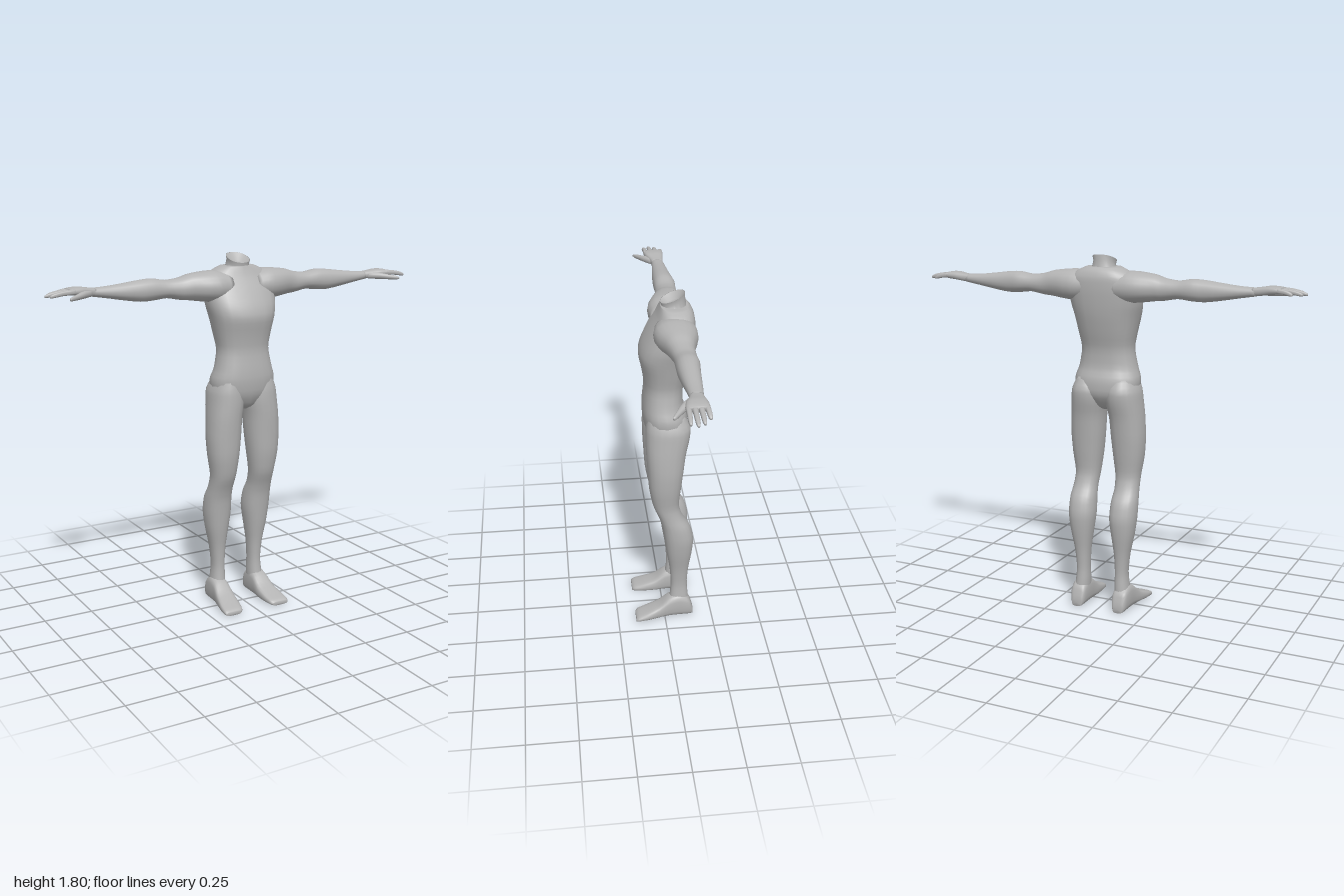
import * as THREE from 'three';

const RING = 20;
const AXES = { x: ['y', 'z'], y: ['z', 'x'], z: ['x', 'y'] };

// Catmull-Rom blend of two neighbouring cross-sections
function blend(rows, i, t) {
  const at = k => rows[Math.min(Math.max(k, 0), rows.length - 1)];
  const [p, q, r, s] = [at(i - 1), at(i), at(i + 1), at(i + 2)];
  return q.map((v, k) => {
    const m0 = (r[k] - p[k]) * 0.4, m1 = (s[k] - v) * 0.4;
    const d = r[k] - v;
    return v + t * (m0 + t * (3 * d - 2 * m0 - m1 + t * (m0 + m1 - 2 * d)));
  });
}

// Skin over cross-sections [position, aMin, aMax, bMin, bMax] along an axis.
// power 2 is an ellipse, higher is boxier; bend may move each point.
function loft(axis, rows, { power = 2.2, steps = 3, bend, flip = false } = {}) {
  const [a, b] = AXES[axis];
  const sections = [];
  rows.slice(0, -1).forEach((_, i) => {
    for (let k = 0; k < steps; k++) sections.push(blend(rows, i, k / steps));
  });
  sections.push(rows[rows.length - 1]);
  const pos = [], idx = [];
  const put = (s, u, v) => {
    const p = new THREE.Vector3();
    p[axis] = s; p[a] = u; p[b] = v;
    if (bend) bend(p);
    if (flip) p.x *= -1;
    pos.push(p.x, p.y, p.z);
  };
  const tri = (i, j, k) => (flip ? idx.push(i, k, j) : idx.push(i, j, k));
  const soft = v => Math.sign(v) * Math.pow(Math.abs(v), 2 / power);
  for (const [s, a0, a1, b0, b1] of sections) {
    for (let j = 0; j < RING; j++) {
      const t = (j / RING) * Math.PI * 2;
      put(s, (a0 + a1) / 2 + (a1 - a0) / 2 * soft(Math.cos(t)),
        (b0 + b1) / 2 + (b1 - b0) / 2 * soft(Math.sin(t)));
    }
  }
  const n = sections.length;
  for (let i = 0; i < n - 1; i++) {
    for (let j = 0; j < RING; j++) {
      const k = (j + 1) % RING, lo = i * RING, hi = lo + RING;
      tri(lo + j, lo + k, hi + j);
      tri(lo + k, hi + k, hi + j);
    }
  }
  // end caps
  [0, n - 1].forEach((i, end) => {
    const [s, a0, a1, b0, b1] = sections[i];
    const c = pos.length / 3;
    put(s, (a0 + a1) / 2, (b0 + b1) / 2);
    for (let j = 0; j < RING; j++) {
      const k = (j + 1) % RING;
      if (end) tri(c, i * RING + j, i * RING + k);
      else tri(c, i * RING + k, i * RING + j);
    }
  });
  const g = new THREE.BufferGeometry();
  g.setAttribute('position', new THREE.Float32BufferAttribute(pos, 3));
  g.setIndex(idx);
  g.computeVertexNormals();
  return g;
}

export function createModel() {
  const model = new THREE.Group();
  model.name = 'body';
  const grey = new THREE.MeshStandardMaterial({ color: 0xb4b4b4 });
  grey.name = 'body grey';
  const add = (parent, name, geometry) => {
    const mesh = new THREE.Mesh(geometry, grey);
    mesh.name = name;
    parent.add(mesh);
  };

  // Trunk from crotch to shoulders: [y, back, front, right, left]
  add(model, 'torso', loft('y', [
    [1.035, -0.05, 0.02, -0.02, 0.02],
    [1.06, -0.085, 0.06, -0.07, 0.07],
    [1.12, -0.12, 0.09, -0.155, 0.155],
    [1.19, -0.12, 0.1, -0.168, 0.168],
    [1.25, -0.1, 0.098, -0.15, 0.15],
    [1.34, -0.1, 0.09, -0.134, 0.134],
    [1.42, -0.12, 0.1, -0.148, 0.148],
    [1.5, -0.138, 0.115, -0.166, 0.166],
    [1.56, -0.147, 0.1, -0.18, 0.18],
    [1.63, -0.153, 0.065, -0.185, 0.185],
    [1.69, -0.152, 0.03, -0.17, 0.17],
    [1.725, -0.14, 0.015, -0.13, 0.13],
    [1.745, -0.122, 0.008, -0.085, 0.085],
  ], { power: 2.4 }));

  // Neck, cut at a slant with a hollow top
  add(model, 'neck', loft('y', [
    [1.69, -0.13, 0.02, -0.09, 0.09],
    [1.735, -0.115, 0.008, -0.062, 0.062],
    [1.76, -0.108, 0.004, -0.052, 0.052],
    [1.782, -0.108, 0.01, -0.058, 0.058],
    [1.782, -0.106, 0.008, -0.056, 0.056],
    [1.755, -0.08, -0.02, -0.025, 0.025],
  ], { steps: 1, bend: p => { if (p.y > 1.74) p.y += (-0.05 - p.z) * 0.38; } }));

  // Limbs are described on the left side and mirrored to the right
  for (const [side, flip] of [['left', false], ['right', true]]) {
    const leg = new THREE.Group();
    leg.name = side + 'Leg';
    // Leg from ankle to hip: [y, back, front, inner, outer]
    add(leg, side + 'LegLimb', loft('y', [
      [0.06, -0.13, -0.02, 0.075, 0.155],
      [0.13, -0.125, -0.03, 0.073, 0.146],
      [0.2, -0.12, -0.035, 0.075, 0.14],
      [0.3, -0.127, -0.028, 0.07, 0.15],
      [0.4, -0.142, -0.012, 0.056, 0.17],
      [0.49, -0.149, 0, 0.044, 0.182],
      [0.57, -0.13, 0.012, 0.047, 0.182],
      [0.63, -0.093, 0.03, 0.052, 0.176],
      [0.7, -0.073, 0.058, 0.047, 0.175],
      [0.8, -0.083, 0.077, 0.034, 0.19],
      [0.9, -0.095, 0.084, 0.024, 0.196],
      [1, -0.108, 0.09, 0.018, 0.191],
      [1.08, -0.126, 0.092, 0.006, 0.183],
      [1.14, -0.13, 0.09, 0.01, 0.175],
      [1.2, -0.1, 0.08, 0.03, 0.15],
    ], { power: 2.25, flip }));
    // Foot from heel to toe: [z, inner, outer, sole, top]
    add(leg, side + 'Foot', loft('z', [
      [-0.151, 0.088, 0.142, 0, 0.04],
      [-0.13, 0.076, 0.155, 0, 0.105],
      [-0.08, 0.072, 0.16, 0, 0.135],
      [-0.025, 0.071, 0.163, 0, 0.12],
      [0.03, 0.068, 0.172, 0, 0.075],
      [0.095, 0.073, 0.184, 0, 0.046],
      [0.14, 0.082, 0.186, 0, 0.03],
      [0.155, 0.095, 0.18, 0, 0.018],
    ], { power: 3, flip, bend: p => { p.y = Math.max(p.y, 0); } }));
    model.add(leg);

    const arm = new THREE.Group();
    arm.name = side + 'Arm';
    // Arm from shoulder to wrist: [x, bottom, top, back, front]
    add(arm, side + 'ArmLimb', loft('x', [
      [0.07, 1.58, 1.715, -0.145, 0.045],
      [0.14, 1.573, 1.727, -0.151, 0.056],
      [0.2, 1.578, 1.724, -0.145, 0.045],
      [0.27, 1.588, 1.715, -0.125, 0.017],
      [0.32, 1.593, 1.7, -0.116, 0.002],
      [0.39, 1.605, 1.692, -0.114, -0.008],
      [0.46, 1.598, 1.703, -0.117, -0.008],
      [0.52, 1.596, 1.7, -0.111, -0.009],
      [0.6, 1.607, 1.69, -0.105, -0.015],
      [0.69, 1.623, 1.68, -0.097, -0.024],
      [0.77, 1.636, 1.676, -0.089, -0.03],
    ], { flip }));
    // Palm
    add(arm, side + 'Palm', loft('x', [
      [0.75, 1.638, 1.675, -0.088, -0.032],
      [0.79, 1.64, 1.68, -0.092, -0.02],
      [0.83, 1.645, 1.686, -0.097, -0.004],
      [0.87, 1.65, 1.685, -0.1, 0.003],
      [0.89, 1.655, 1.68, -0.096, 0.002],
    ], { power: 2.8, flip }));
    // Fingers: [tip x, z at root, z at tip]
    [[0.945, -0.086, -0.092], [0.984, -0.061, -0.063],
      [1, -0.035, -0.035], [0.985, -0.01, -0.006]].forEach(([tip, z0, z1], i) => {
      const rows = [0, 0.5, 0.85, 1].map((t, k) => {
        const x = 0.865 + (tip - 0.865) * t, z = z0 + (z1 - z0) * t;
        const w = [0.0125, 0.011, 0.0095, 0.005][k];
        const y = 1.668 - 0.016 * t * t;
        return [x, y - w, y + w, z - w, z + w];
      });
      add(arm, side + 'Finger' + (i + 1), loft('x', rows, { power: 2.6, steps: 2, flip }));
    });
    // Thumb
    add(arm, side + 'Thumb', loft('x', [
      [0.77, 1.64, 1.668, -0.055, -0.028],
      [0.82, 1.636, 1.67, -0.035, 0.012],
      [0.86, 1.635, 1.662, 0.002, 0.034],
      [0.895, 1.634, 1.655, 0.03, 0.052],
      [0.912, 1.636, 1.648, 0.046, 0.058],
    ], { steps: 2, flip }));
    model.add(arm);
  }
  return model;
}
